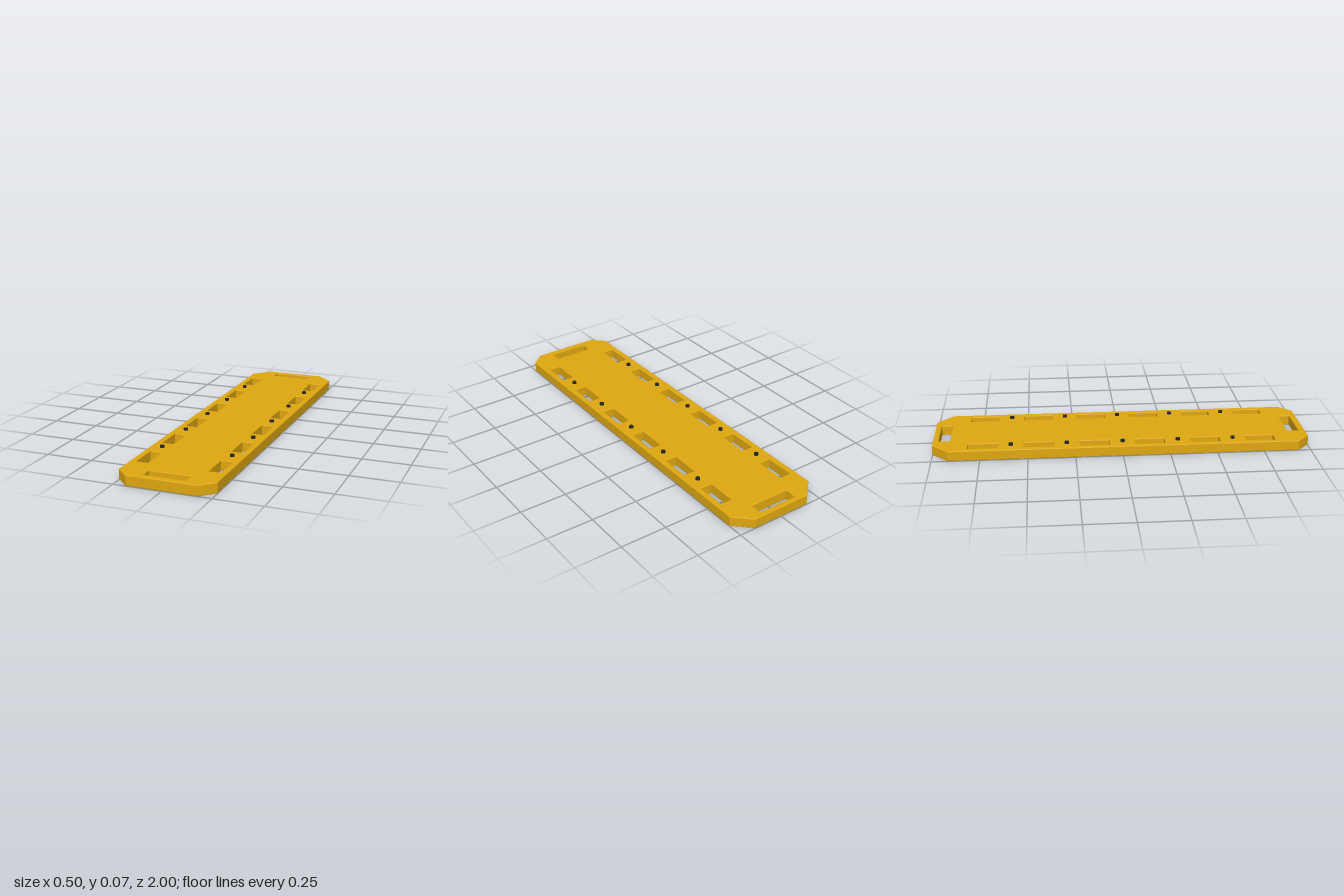
import * as THREE from 'three';

const HEIGHT = 0.055, BEVEL = 0.004, PITCH = 0.294;

// Plan outlines are drawn as (x, z); shape y is -z so the slab can be laid flat
function planPoints(points) {
  return points.map(([x, z]) => new THREE.Vector2(x, -z));
}

function slot(x, z, width, length) {
  const w = width / 2, l = length / 2;
  return new THREE.Path(planPoints([[x - w, z - l], [x + w, z - l], [x + w, z + l], [x - w, z + l]]));
}

export function createModel() {
  const group = new THREE.Group();
  const yellow = new THREE.MeshStandardMaterial({ color: 0xe0a810 });
  const black = new THREE.MeshStandardMaterial({ color: 0x222428 });

  // Board with clipped corners, slightly tighter at the back end
  const outline = new THREE.Shape(planPoints([
    [-0.183, 1 ], [0.183, 1], [0.25, 0.935], [0.25, -0.915],
    [0.163, -1], [-0.163, -1], [-0.25, -0.915], [-0.25, 0.935],
  ]));

  // Carrying slots at both ends and six along each side
  outline.holes.push(slot(0, 0.934, 0.216, 0.062), slot(0, -0.94, 0.216, 0.062));
  for (const side of [-1, 1]) {
    for (let i = 0; i < 6; i++) {
      outline.holes.push(slot(side * 0.188, (i - 2.5) * PITCH, 0.063, 0.156));
    }
  }

  const boardGeometry = new THREE.ExtrudeGeometry(outline, {
    depth: HEIGHT - 2 * BEVEL,
    bevelEnabled: true,
    bevelThickness: BEVEL,
    bevelSize: BEVEL,
    bevelOffset: -BEVEL,
    bevelSegments: 2,
  });
  boardGeometry.translate(0, 0, BEVEL);
  boardGeometry.rotateX(-Math.PI / 2);
  const board = new THREE.Mesh(boardGeometry, yellow);
  board.name = 'board';
  group.add(board);

  // Strap pins between the side slots
  const pinGeometry = new THREE.CylinderGeometry(0.0115, 0.0115, 0.022, 16);
  const pins = new THREE.Group();
  pins.name = 'strapPins';
  for (const side of [-1, 1]) {
    for (let i = -2; i <= 2; i++) {
      const pin = new THREE.Mesh(pinGeometry, black);
      pin.name = side > 0 ? 'leftPin' : 'rightPin';
      pin.position.set(side * 0.188, HEIGHT, i * PITCH);
      pins.add(pin);
    }
  }
  group.add(pins);
  return group;
}
